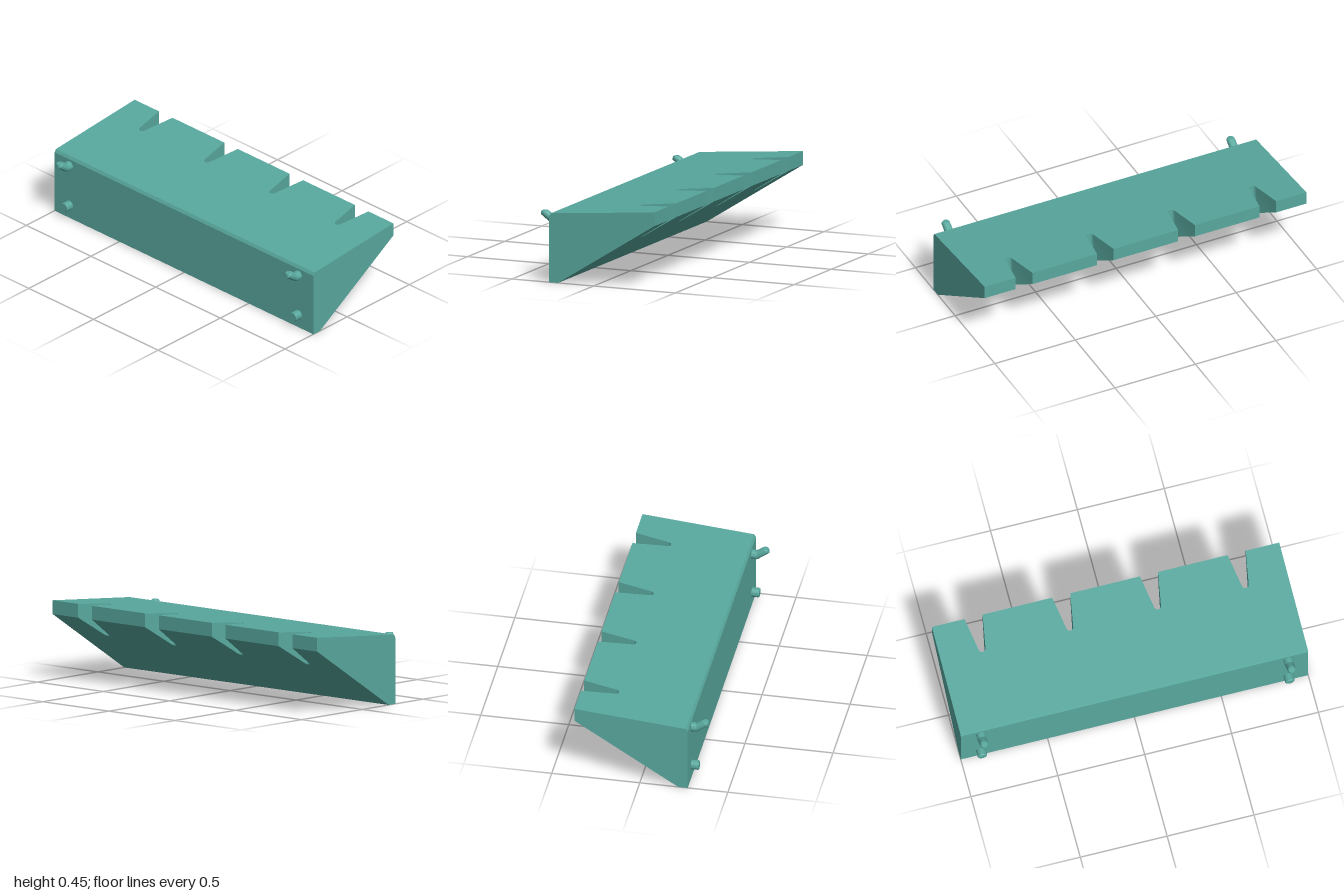
import * as THREE from 'three';
import { mergeGeometries, toCreasedNormals } from 'three/addons/utils/BufferGeometryUtils.js';

const material = new THREE.MeshStandardMaterial({ color: 0x58a89e });
const BACK = -0.372, SEAM = 0.218, FRONT = 0.272;
const SLOPE = 0.055 / 0.634;
const topY = z => 0.392 + (0.262 - z) * SLOPE;
const bottomY = z => (SEAM - z) * 0.369 / (SEAM - BACK);

// Removes the hidden faces where the two halves of the body meet
function openAtSeam(geometry) {
  const p = geometry.attributes.position, kept = [];
  for (let i = 0; i < p.count; i += 3) {
    const tri = [i, i + 1, i + 2];
    if (tri.every(k => Math.abs(p.getZ(k) - SEAM) < 1e-4)) continue;
    tri.forEach(k => kept.push(p.getX(k), p.getY(k), p.getZ(k)));
  }
  const out = new THREE.BufferGeometry();
  out.setAttribute('position', new THREE.Float32BufferAttribute(kept, 3));
  return out;
}

// Tapering rear: notched plan, with its two faces moved onto the sloping planes
function rearGeometry() {
  const plan = new THREE.Shape();
  plan.moveTo(-1, -SEAM);
  plan.lineTo(1, -SEAM);
  plan.lineTo(1, -BACK);
  for (const x of [0.755, 0.25, -0.255, -0.76]) {
    plan.lineTo(x + 0.052, -BACK);
    plan.absarc(x, 0.184, 0.02, -0.15, -Math.PI + 0.15, true);
    plan.lineTo(x - 0.052, -BACK);
  }
  plan.lineTo(-1, -BACK);
  plan.closePath();
  const g = new THREE.ExtrudeGeometry(plan, { depth: 1, bevelEnabled: false, curveSegments: 10 });
  g.rotateX(-Math.PI / 2);
  const p = g.attributes.position;
  for (let i = 0; i < p.count; i++) {
    let z = p.getZ(i);
    if (p.getY(i) > 0.5) {
      p.setY(i, topY(z));
    } else {
      // notch ends run square to the sloping top
      if (z > -0.3 && z < 0) z -= (topY(z) - bottomY(z)) * SLOPE;
      p.setZ(i, z);
      p.setY(i, bottomY(z));
    }
  }
  return openAtSeam(g);
}

// Front strip: side profile with the chamfered upper edge
function frontGeometry() {
  const profile = new THREE.Shape([
    [SEAM, 0], [SEAM, topY(SEAM)], [0.262, 0.392], [FRONT, 0.375], [FRONT, 0]
  ].map(([z, y]) => new THREE.Vector2(-z, y)));
  const g = new THREE.ExtrudeGeometry(profile, { depth: 2, bevelEnabled: false });
  g.rotateY(Math.PI / 2).translate(-1, 0, 0);
  return openAtSeam(g);
}

// Round pin from rings: [upper z, upper y, lower z, lower y, half width]
function pinGeometry(rings) {
  const n = rings.length - 1;
  const g = new THREE.CylinderGeometry(1, 1, 1, 24, n);
  const p = g.attributes.position;
  for (let i = 0; i < p.count; i++) {
    const [tz, ty, bz, by, r] = rings[Math.round((p.getY(i) + 0.5) * n)];
    const up = (1 - p.getZ(i)) / 2;
    p.setXYZ(i, p.getX(i) * r, by + (ty - by) * up, bz + (tz - bz) * up);
  }
  return toCreasedNormals(g, 0.6);
}

const PEG = [
  [0.27, 0.11, 0.27, 0.056, 0.027],
  [0.311, 0.11, 0.311, 0.056, 0.027],
  [0.316, 0.106, 0.316, 0.06, 0.023]
];
const HOOK = [
  [0.27, 0.363, 0.27, 0.309, 0.027],
  [0.293, 0.363, 0.299, 0.309, 0.027],
  [0.297, 0.362, 0.311, 0.314, 0.026],
  [0.302, 0.364, 0.325, 0.325, 0.025],
  [0.33, 0.383, 0.371, 0.359, 0.024],
  [0.333, 0.385, 0.372, 0.368, 0.023],
  [0.336, 0.385, 0.369, 0.382, 0.017]
];

export function createModel() {
  const group = new THREE.Group();
  const add = (name, geometry, x = 0) => {
    const mesh = new THREE.Mesh(geometry, material);
    mesh.name = name;
    mesh.position.x = x;
    group.add(mesh);
  };

  add('notchedShelf', toCreasedNormals(mergeGeometries([rearGeometry(), frontGeometry()]), 0.45));

  // Mounting pins at both ends
  for (const [side, x] of [['left', 0.885], ['right', -0.885]]) {
    add(side + 'Hook', pinGeometry(HOOK), x);
    add(side + 'Peg', pinGeometry(PEG), x);
  }
  return group;
}
